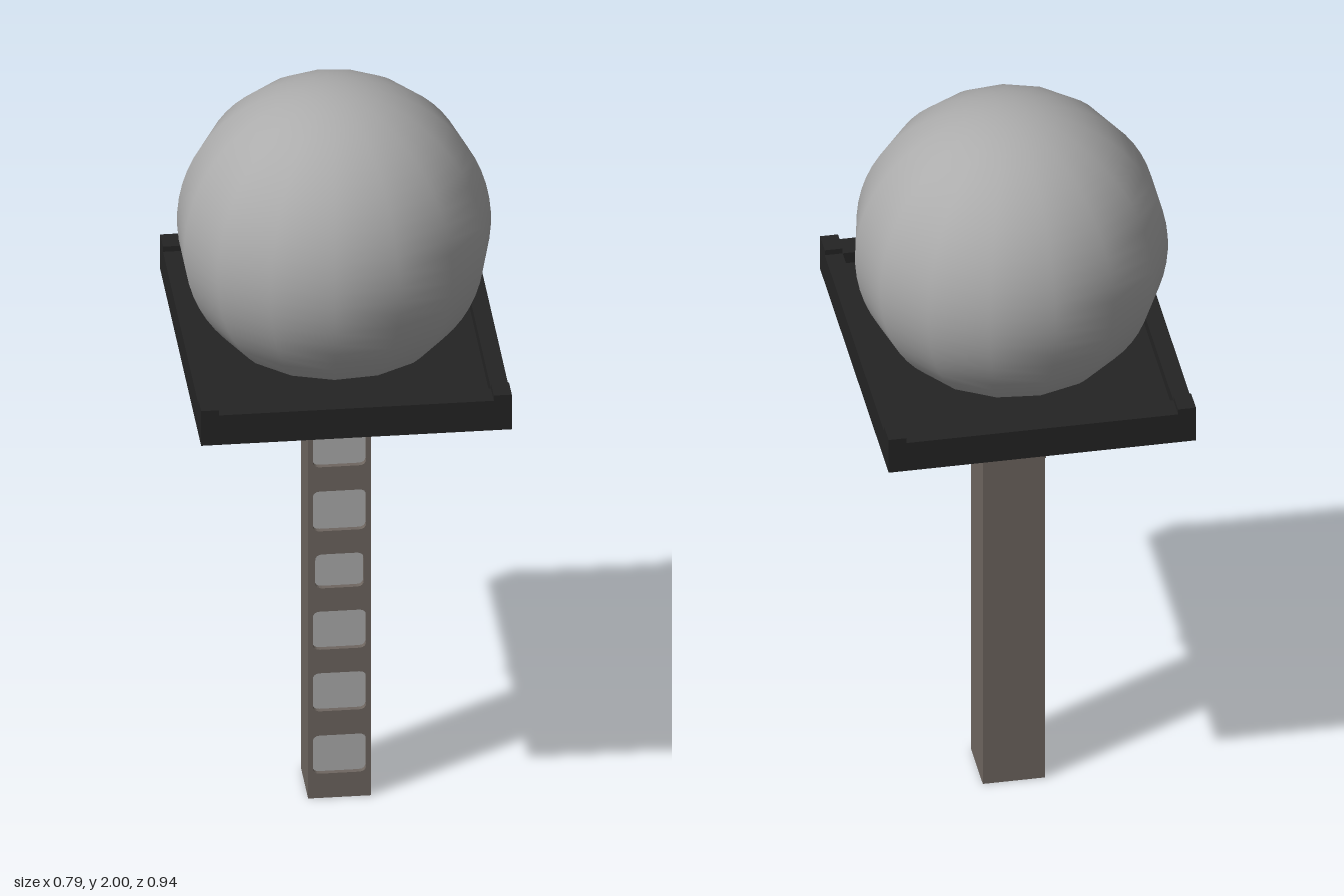
import * as THREE from 'three';

const mat = (name, color, side = THREE.FrontSide) => {
  const m = new THREE.MeshStandardMaterial({ color, side });
  m.name = name;
  return m;
};

export function createModel() {
  const model = new THREE.Group();
  model.name = 'globeTower';
  const brown = mat('brownPost', 0x6e6660);
  const black = mat('blackTray', 0x242424);
  const grey = mat('paleGrey', 0xacacac);

  const add = (name, geometry, material, x = 0, y = 0, z = 0, parent = model) => {
    const mesh = new THREE.Mesh(geometry, material);
    mesh.name = name;
    mesh.position.set(x, y, z);
    parent.add(mesh);
    return mesh;
  };
  const box = (name, w, h, d, material, x, y, z) =>
    add(name, new THREE.BoxGeometry(w, h, d), material, x, y, z);

  // Rectangle with rounded corners, as a hole outline
  const roundedRect = (w, y0, y1, r) => {
    const p = new THREE.Path();
    p.moveTo(-w + r, y0);
    p.lineTo(w - r, y0);
    p.quadraticCurveTo(w, y0, w, y0 + r);
    p.lineTo(w, y1 - r);
    p.quadraticCurveTo(w, y1, w - r, y1);
    p.lineTo(-w + r, y1);
    p.quadraticCurveTo(-w, y1, -w, y1 - r);
    p.lineTo(-w, y0 + r);
    p.quadraticCurveTo(-w, y0, -w + r, y0);
    return p;
  };

  // Square post: solid core and a front skin pierced by windows
  const half = 0.08, top = 1.252, recess = 0.018;
  box('postCore', half * 2, top, half * 2 - recess, brown, 0, top / 2, -recess / 2);
  const skin = new THREE.Shape();
  skin.moveTo(-half, 0);
  skin.lineTo(half, 0);
  skin.lineTo(half, top);
  skin.lineTo(-half, top);
  skin.closePath();
  const windows = [
    [0.07, 0.18, 0.068], [0.25, 0.36, 0.068], [0.428, 0.538, 0.068], [0.605, 0.703, 0.062],
    [0.77, 0.885, 0.068], [0.955, 1.072, 0.068], [1.142, 1.246, 0.068],
  ];
  for (const [y0, y1, w] of windows) {
    skin.holes.push(roundedRect(w, y0, y1, 0.018));
    box('windowPane', w * 2 + 0.004, y1 - y0 + 0.002, 0.006, grey,
      0, (y0 + y1) / 2, half - recess + 0.001);
  }
  add('postFront', new THREE.ExtrudeGeometry(skin, { depth: recess, bevelEnabled: false, curveSegments: 4 }),
    brown, 0, 0, half - recess);

  // Tapered braces under the tray: left, right and back
  const brace = (name, length, angle) => {
    const s = new THREE.Shape();
    s.moveTo(0.07, 1.175);
    s.lineTo(length, 1.228);
    s.lineTo(length, 1.252);
    s.lineTo(0.07, 1.252);
    s.closePath();
    const g = new THREE.ExtrudeGeometry(s, { depth: 0.028, bevelEnabled: false });
    g.translate(0, 0, -0.014);
    add(name, g, brown).rotation.y = angle;
  };
  brace('leftBrace', 0.39, 0);
  brace('rightBrace', 0.39, Math.PI);
  brace('backBrace', 0.445, Math.PI / 2);

  // Shallow tray with raised rim and corner blocks
  const X = 0.396, Z = 0.469, rx = 0.046, rz = 0.065;
  box('trayUnderside', X * 2 - 0.006, 0.006, Z * 2 - 0.006, brown, 0, 1.2515, 0);
  box('trayFloor', (X - rx) * 2, 0.05, (Z - rz) * 2, black, 0, 1.279, 0);
  for (const s of [-1, 1]) {
    box('sideRim', rx, 0.085, (Z - rz) * 2, black, s * (X - rx / 2), 1.2925, 0);
    box('endRim', (X - rx) * 2, 0.085, rz, black, 0, 1.2925, s * (Z - rz / 2));
    for (const t of [-1, 1])
      box('cornerBlock', rx, 0.1, rz, black, s * (X - rx / 2), 1.3, t * (Z - rz / 2));
  }

  // Fifteen-sided globe, cut off at the tray floor
  const globe = add('globe',
    new THREE.SphereGeometry(0.4, 15, 24, 0, Math.PI * 2, 0, Math.acos(-0.755)),
    grey, -0.004, 1.6, -0.008);
  globe.rotation.y = Math.PI;

  return model;
}
